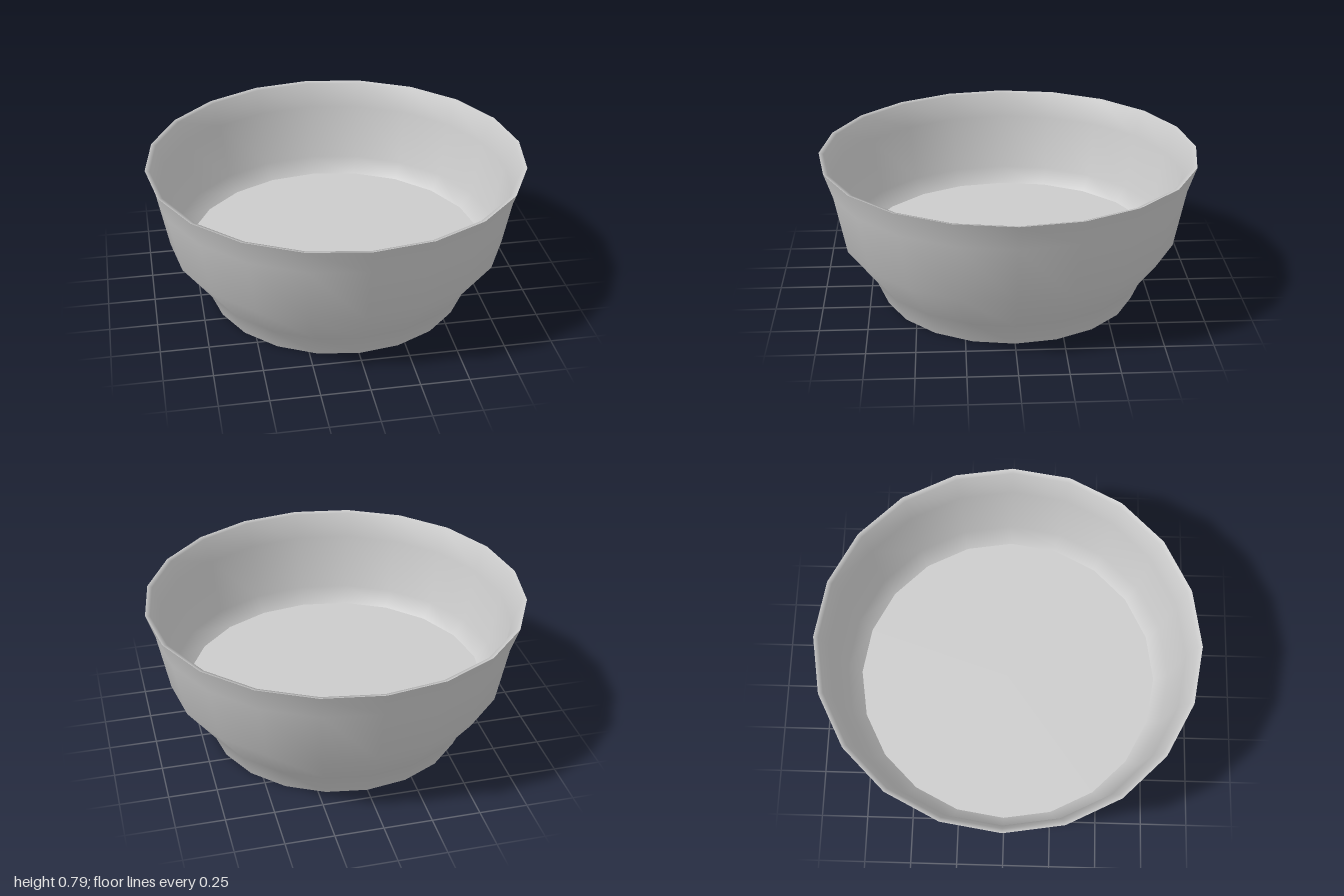
import * as THREE from 'three';

const SIDES = 20;

export function createModel() {
  const group = new THREE.Group();
  group.name = 'bowl';
  const material = new THREE.MeshStandardMaterial({ color: 0xcccccc });

  // Each part is a turned profile of [radius, height]; separate parts keep their seams crisp
  const turn = (name, profile) => {
    const points = profile.map(([r, y]) => new THREE.Vector2(r, y));
    const mesh = new THREE.Mesh(new THREE.LatheGeometry(points, SIDES), material);
    mesh.name = name;
    group.add(mesh);
  };

  // Recessed underside and the thin foot ring around it
  turn('underside', [[0, 0.05], [0.69, 0.05]]);
  turn('footInnerWall', [[0.69, 0.05], [0.67, 0]]);
  turn('footRing', [[0.67, 0], [0.685, 0]]);

  // Flared outside
  turn('outerWall', [[0.685, 0], [0.74, 0.13], [0.895, 0.34], [0.955, 0.65], [1, 0.787]]);

  // Lip rolling into the inside wall, down to the flat floor
  turn('innerWall', [[1, 0.787], [0.975, 0.78], [0.93, 0.65], [0.87, 0.35], [0.8, 0.27]]);
  turn('floor', [[0.8, 0.27], [0, 0.27]]);

  return group;
}
